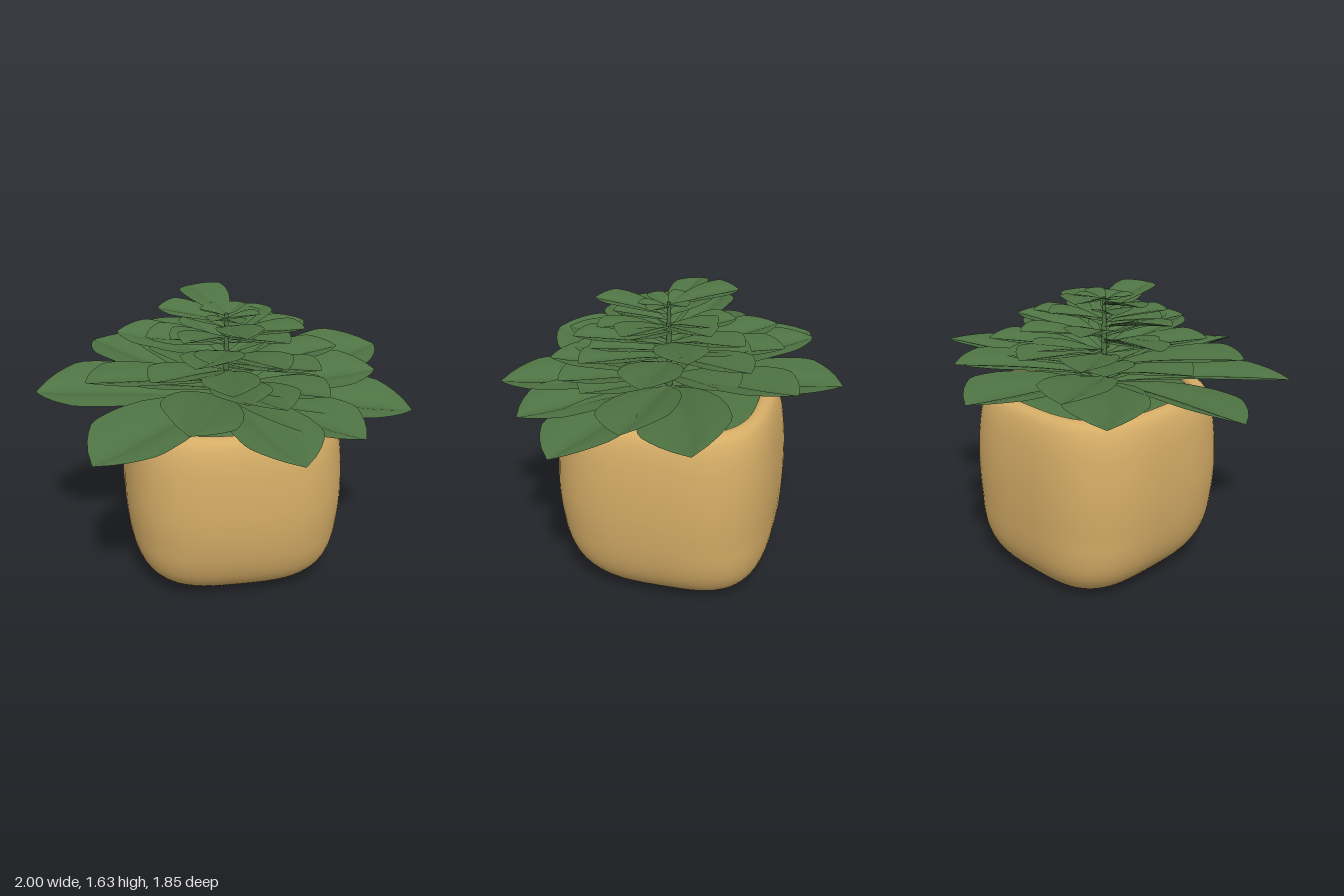
import * as THREE from 'three';

const potMaterial = new THREE.MeshStandardMaterial({ color: 0xd4ac66, side: THREE.DoubleSide });
const leafMaterial = new THREE.MeshStandardMaterial({ color: 0x4e7343, side: THREE.DoubleSide });

const CENTRE = { x: 0.065, z: -0.015 };
const STEM = { x: 0.04, z: 0.02 };

// Surface over a (rows x cols) grid of points
function gridSurface(rows, cols, point) {
  const positions = [], index = [];
  for (let r = 0; r <= rows; r++)
    for (let c = 0; c <= cols; c++) positions.push(...point(r, c));
  for (let r = 0; r < rows; r++)
    for (let c = 0; c < cols; c++) {
      const a = r * (cols + 1) + c, b = a + cols + 1;
      index.push(a, b, a + 1, b, b + 1, a + 1);
    }
  const geometry = new THREE.BufferGeometry();
  geometry.setAttribute('position', new THREE.Float32BufferAttribute(positions, 3));
  geometry.setIndex(index);
  geometry.computeVertexNormals();
  return geometry;
}

// Linear interpolation through [t, value] stops
function sample(stops, t) {
  for (let i = 1; i < stops.length; i++) {
    const [t0, v0] = stops[i - 1], [t1, v1] = stops[i];
    if (t <= t1) return v0 + (v1 - v0) * (t - t0) / (t1 - t0);
  }
  return stops.at(-1)[1];
}

// Rounded-square ring: superellipse point
function squircle(angle, half, power) {
  const bend = (v) => Math.sign(v) * Math.pow(Math.abs(v), 2 / power) * half;
  return [bend(Math.cos(angle)), bend(Math.sin(angle))];
}

function addMesh(parent, name, geometry, material) {
  const mesh = new THREE.Mesh(geometry, material);
  mesh.name = name;
  parent.add(mesh);
  return mesh;
}

// Stack of rounded-square rings: height, half width, shift in z; squarer towards the foot
function ringsSurface(rings) {
  const cols = 72;
  return gridSurface(rings.length - 1, cols, (r, c) => {
    const [y, half, shift = 0] = rings[r];
    const power = 2.9 + 0.5 * Math.max(0, 1 - y / 0.4);
    const [x, z] = squircle(-((c % cols) / cols) * Math.PI * 2, half, power);
    return [CENTRE.x + x, y, CENTRE.z + z + shift];
  });
}

function buildPot(group) {
  const profile = [
    [0, 0, -0.07], [0, 0.28, -0.07], [0.008, 0.35, -0.065], [0.03, 0.415, -0.055], [0.07, 0.47, -0.045],
    [0.13, 0.522, -0.033], [0.2, 0.56, -0.022], [0.29, 0.587, -0.012], [0.4, 0.604, -0.004],
    [0.55, 0.614], [0.7, 0.612], [0.83, 0.602], [0.93, 0.587], [1.0, 0.567], [1.04, 0.545],
    [1.058, 0.515], [1.06, 0.495], [1.052, 0.475], [1.03, 0.465], [0.98, 0.46],
  ];
  // Smooth the profile with a curve
  const curve = new THREE.CatmullRomCurve3(
    profile.map(([y, half, shift = 0]) => new THREE.Vector3(half, y, shift)), false, 'centripetal');
  const rings = curve.getPoints(57).map((p) => [Math.max(p.y, 0), Math.max(p.x, 0), p.z]);
  addMesh(group, 'pot', ringsSurface(rings), potMaterial);
  // Green ground cover filling the pot
  addMesh(group, 'groundCover', ringsSurface([[1.03, 0.466], [1.05, 0.4], [1.06, 0.25], [1.075, 0]]), leafMaterial);
}

// Half width along the leaf, as a share of its widest point
const OUTLINE = [[0, 0.08], [0.08, 0.16], [0.18, 0.44], [0.3, 0.69], [0.45, 0.89], [0.6, 0.99],
  [0.74, 1], [0.81, 0.92], [0.89, 0.65], [0.95, 0.36], [0.985, 0.15], [1, 0.02]];

// Folded leaf from the stem to its tip; roll tilts it about its midrib
function leafGeometry(tipX, tipY, tipZ, half, roll = 0) {
  const dx = tipX - STEM.x, dz = tipZ - STEM.z;
  const length = Math.hypot(dx, dz);
  const ux = dx / length, uz = dz / length;
  const baseY = Math.max(1.08, tipY - 0.19 * length);
  const rows = 20, cols = 10;
  return gridSurface(rows, cols, (r, c) => {
    const t = r / rows, s = (c / cols) * 2 - 1;
    const w = half * sample(OUTLINE, t);
    const along = t * length;
    const fold = w * (0.24 * Math.abs(s) - 0.03 * Math.cos(s * Math.PI * 2) + roll * s);
    const arch = 0.02 * length * Math.sin(Math.PI * t);
    const y = baseY + (tipY - baseY) * t + arch + fold - 0.05 * half;
    return [STEM.x + ux * along + uz * s * w, y, STEM.z + uz * along - ux * s * w];
  });
}

// Tiers of leaves: tip x, y, z, half width and roll
const TIERS = {
  lowerLeaf: [
    [0.06, 1.2, -0.93, 0.24], [0.99, 1.2, -0.34, 0.23, 0.15], [1.0, 1.09, 0.36, 0.23, 0.08],
    [0.65, 1.1, 0.67, 0.22], [0.28, 1.11, 0.92, 0.22], [-0.72, 1.1, 0.74, 0.23, -0.1],
    [-1.0, 1.15, -0.05, 0.23, -0.15], [-0.66, 1.2, -0.66, 0.22],
  ],
  middleLeaf: [
    [0.4, 1.28, -0.74, 0.2], [0.88, 1.2, 0.04, 0.2, 0.12], [-0.26, 1.24, 0.77, 0.2, -0.25],
    [-0.73, 1.33, 0.28, 0.18], [-0.4, 1.27, -0.71, 0.19], [0.25, 1.27, 0.63, 0.17],
    [0.5, 1.26, 0.49, 0.17],
  ],
  upperLeaf: [
    [0.02, 1.36, -0.61, 0.16], [-0.33, 1.36, -0.51, 0.15], [0.66, 1.34, 0.0, 0.16],
    [0.4, 1.37, -0.5, 0.15], [-0.02, 1.35, 0.61, 0.15], [-0.54, 1.43, -0.16, 0.14, -0.15],
    [-0.4, 1.35, 0.38, 0.15], [0.48, 1.36, 0.38, 0.14], [0.51, 1.43, -0.2, 0.14],
    [0.22, 1.43, -0.43, 0.13], [0.28, 1.42, 0.48, 0.13], [-0.18, 1.43, 0.43, 0.13],
    [-0.4, 1.48, 0.08, 0.12, -0.15],
  ],
  crownLeaf: [
    [0.44, 1.51, 0.16, 0.12], [0.3, 1.5, -0.27, 0.11], [-0.32, 1.59, -0.06, 0.1, -0.15],
    [0.08, 1.57, 0.42, 0.12], [-0.22, 1.5, 0.25, 0.11], [0.32, 1.5, 0.33, 0.11],
    [-0.1, 1.62, -0.33, 0.13], [0.21, 1.57, 0.08, 0.055], [-0.1, 1.58, -0.03, 0.055],
    [0.0, 1.58, -0.13, 0.055], [-0.06, 1.57, 0.15, 0.055], [0.09, 1.56, 0.18, 0.055],
    [0.14, 1.58, -0.1, 0.05],
  ],
};

function buildPlant(group) {
  // Central stem
  const stem = addMesh(group, 'stem', new THREE.CylinderGeometry(0.01, 0.02, 0.5, 10), leafMaterial);
  stem.position.set(STEM.x, 1.31, STEM.z);

  for (const [name, leaves] of Object.entries(TIERS))
    leaves.forEach((leaf, i) => addMesh(group, `${name}${i + 1}`, leafGeometry(...leaf), leafMaterial));

  // Shorter leaves spiralling up between the tiers
  const count = 18;
  for (let i = 0; i < count; i++) {
    const f = i / (count - 1), angle = i * 2.4 + 0.6, reach = 0.6 - 0.32 * f;
    const leaf = leafGeometry(STEM.x + Math.cos(angle) * reach, 1.22 + 0.32 * f,
      STEM.z + Math.sin(angle) * reach, 0.17 - 0.06 * f);
    addMesh(group, `innerLeaf${i + 1}`, leaf, leafMaterial);
  }
}

export function createModel() {
  const model = new THREE.Group();
  model.name = 'pottedPlant';
  const pot = new THREE.Group();
  pot.name = 'planter';
  const plant = new THREE.Group();
  plant.name = 'plant';
  buildPot(pot);
  buildPlant(plant);
  model.add(pot, plant);
  return model;
}
